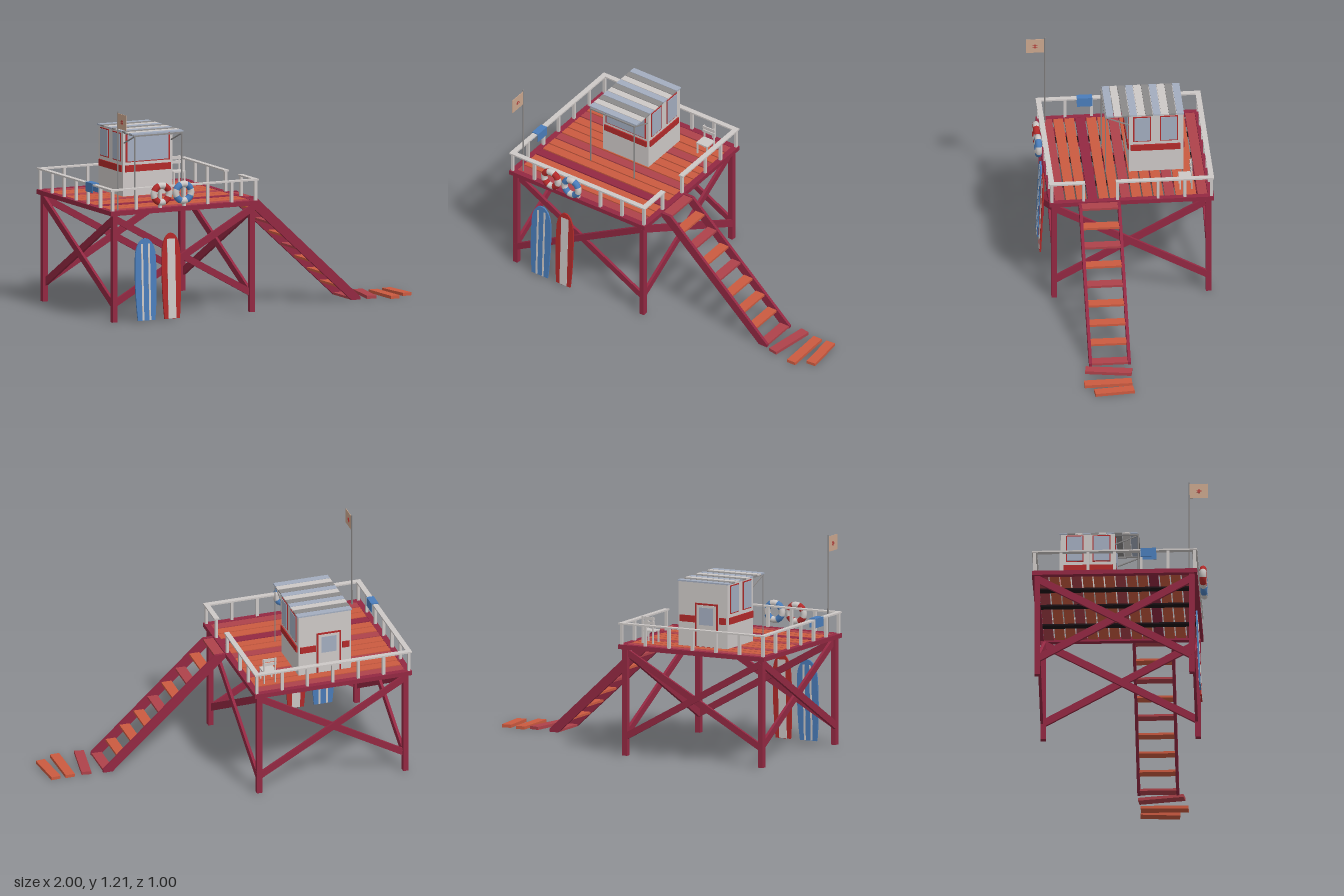
import * as THREE from 'three';

const mat = (name, color, opts = {}) => {
  const m = new THREE.MeshStandardMaterial({ color, ...opts });
  m.name = name;
  return m;
};

export function createModel() {
  const root = new THREE.Group();
  root.name = 'lifeguardTower';
  const crimson = mat('crimson timber', 0x932842);
  const orange = mat('orange plank', 0xcb5a40);
  const rust = mat('rust red plank', 0xae424a);
  const white = mat('off white paint', 0xcdc8c6);
  const red = mat('bright red', 0xb22a2a);
  const blue = mat('blue', 0x4a7dba);
  const glass = mat('pale glass', 0xa3adbf);
  const grey = mat('grey metal', 0x8b8989);
  const tan = mat('tan cloth', 0xcba78e);
  const dark = mat('dark joist', 0x1c1216);

  const add = (name, geo, m, x = 0, y = 0, z = 0, parent = root) => {
    const mesh = new THREE.Mesh(geo, m);
    mesh.name = name;
    mesh.position.set(x, y, z);
    parent.add(mesh);
    return mesh;
  };
  const box = (name, m, w, h, d, x, y, z, parent) =>
    add(name, new THREE.BoxGeometry(w, h, d), m, x, y, z, parent);
  // square timber between two points
  const beam = (name, m, a, b, thick, width) => {
    const A = new THREE.Vector3(...a), B = new THREE.Vector3(...b);
    const mesh = box(name, m, thick, width, A.distanceTo(B), 0, 0, 0);
    mesh.position.copy(A).lerp(B, 0.5);
    mesh.lookAt(B);
    return mesh;
  };

  // --- platform frame and deck ---
  const cx = -0.53, cz = -0.03, half = 0.47;
  for (const s of [-1, 1]) {
    box('frameBeam', crimson, 0.94, 0.026, 0.034, cx, 0.635, cz + s * 0.453);
    box('frameBeam', crimson, 0.034, 0.026, 0.872, cx + s * 0.453, 0.635, cz);
  }
  const pitch = 0.0626;
  const plankMats = { 0: rust, 3: rust, 7: rust, 10: crimson, 13: rust };
  for (let i = 0; i < 14; i++)
    box('deckPlank', plankMats[i] || orange, 0.88, 0.014, pitch - 0.008, cx, 0.64, cz + (i - 6.5) * pitch);
  for (const x of [-0.77, -0.55, -0.29]) box('joist', dark, 0.045, 0.01, 0.872, x, 0.628, cz);

  // --- legs and cross braces ---
  const lx = 0.4375, lz = 0.44;
  for (const sx of [-1, 1]) for (const sz of [-1, 1])
    box('leg', crimson, 0.031, 0.615, 0.031, cx + sx * lx, 0.315, cz + sz * lz);
  for (const s of [-1, 1]) for (const d of [-1, 1]) {
    const z = cz + s * lz + d * 0.008, x = cx + s * lx + d * 0.008;
    beam('crossBrace', crimson, [cx - d * lx, 0.115, z], [cx + d * lx, 0.605, z], 0.016, 0.038);
    beam('crossBrace', crimson, [x, 0.115, cz - d * lz], [x, 0.605, cz + d * lz], 0.016, 0.042);
  }

  // --- railing, open where the ladder arrives ---
  const railY = 0.768, r = 0.455;
  const post = (x, z) => box('railPost', white, 0.016, 0.122, 0.016, x, 0.706, z);
  for (const s of [-1, 1]) box('topRail', white, 0.94, 0.009, 0.03, cx, railY, cz + s * r);
  box('topRail', white, 0.03, 0.009, 0.88, cx - r, railY, cz);
  box('topRail', white, 0.03, 0.009, 0.19, cx + r, railY, 0.33);
  box('topRail', white, 0.03, 0.009, 0.53, cx + r, railY, -0.205);
  for (let i = 0; i <= 6; i++) {
    const t = -r + i * r / 3;
    post(cx + t, cz - r);
    post(cx + t, cz + r);
    if (i > 0 && i < 6) {
      post(cx - r, cz + t);
      if (i !== 4) post(cx + r, cz + t + (i === 5 ? -0.03 : i === 3 ? 0.08 : 0));
    }
  }

  // --- ladder ---
  const side = new THREE.Shape([[-0.06, 0.645], [0, 0.645], [0.67, 0.022], [0.67, 0.005],
    [0.615, 0.005], [-0.06, 0.622]].map(p => new THREE.Vector2(...p)));
  for (const z of [0.036, 0.257])
    add('ladderStringer', new THREE.ExtrudeGeometry(side, { depth: 0.017, bevelEnabled: false }), crimson, 0, 0, z);
  for (let i = 0; i < 9; i++)
    box('ladderStep', [0, 2, 4, 8].includes(i) ? rust : orange, 0.06, 0.013, 0.208,
      -0.03 + i * 0.0835, 0.634 - i * 0.0775, 0.155);

  // --- loose boardwalk planks: x, y, z, length, turn ---
  for (const [x, y, z, len, turn, m] of [[0.75, 0.018, 0.17, 0.265, -0.16, rust],
    [0.867, 0.011, 0.183, 0.272, 0.02, orange], [0.961, 0.014, 0.155, 0.225, 0.09, orange]])
    box('walkPlank', m, 0.056, 0.018, len, x, y, z).rotation.y = turn;

  // --- cabin ---
  const hx = -0.526, hz = -0.195, hw = 0.314, hd = 0.31;
  box('cabinWalls', white, hw, 0.37, hd, hx, 0.833, hz);
  const fz = hz + hd / 2, bz = hz - hd / 2;
  box('frontWindowFrame', red, 0.28, 0.168, 0.004, hx, 0.926, fz + 0.002);
  box('frontWindow', glass, 0.262, 0.156, 0.008, hx, 0.926, fz + 0.003);
  box('frontStripe', red, 0.29, 0.038, 0.009, hx, 0.806, fz + 0.003);
  for (const s of [-1, 1]) {
    const x = hx + s * hw / 2;
    for (const z of [-0.115, -0.268]) {
      box('sideWindowFrame', red, 0.004, 0.164, 0.102, x + s * 0.002, 0.928, z);
      box('sideWindow', glass, 0.008, 0.152, 0.09, x + s * 0.003, 0.928, z);
    }
    box('sideStripe', red, 0.009, 0.038, 0.282, x + s * 0.003, 0.806, hz + 0.004);
  }
  // back door
  box('doorFrame', red, 0.146, 0.25, 0.006, -0.55, 0.775, bz - 0.002);
  box('door', white, 0.126, 0.238, 0.009, -0.55, 0.771, bz - 0.003);
  box('doorWindow', glass, 0.09, 0.1, 0.009, -0.55, 0.826, bz - 0.005);
  box('backStripe', red, 0.095, 0.038, 0.008, -0.426, 0.806, bz - 0.002);
  box('backStripe', red, 0.042, 0.038, 0.008, -0.652, 0.806, bz - 0.002);

  // roof slats, porch posts and struts
  for (let i = 0; i < 10; i++)
    box('roofSlat', [glass, grey, white][i % 3], 0.326, 0.008, 0.041, hx, 1.021, -0.333 + i * 0.0446);
  for (const s of [-1, 1]) {
    const x = hx + s * 0.15;
    beam('roofRafter', grey, [x, 1.013, fz], [x, 1.013, 0.095], 0.007, 0.007);
    beam('roofStrut', grey, [x, 0.955, fz], [x, 1.008, 0.09], 0.006, 0.006);
    add('porchPost', new THREE.CylinderGeometry(0.004, 0.004, 0.37, 8), grey, x, 0.832, 0.093);
  }
  box('porchBeam', grey, 0.31, 0.008, 0.008, hx, 1.012, 0.093);

  // --- life rings with alternating bands ---
  for (const [x, m] of [[-0.692, red], [-0.552, blue]]) {
    const ring = new THREE.Group();
    ring.name = 'lifeRing';
    ring.position.set(x, 0.733, 0.463);
    root.add(ring);
    for (let i = 0; i < 8; i++)
      add('ringBand', new THREE.TorusGeometry(0.048, 0.019, 12, 6, Math.PI / 4), i % 2 ? m : white, 0, 0, 0, ring)
        .rotation.z = (i - 0.5) * Math.PI / 4;
  }

  // --- surfboards leaning on the front brace ---
  const boardShape = (w, h) => {
    const s = new THREE.Shape();
    s.moveTo(-w * 0.8, 0);
    s.lineTo(w * 0.8, 0);
    s.bezierCurveTo(w * 1.0, h * 0.25, w * 1.05, h * 0.6, w * 0.93, h * 0.82);
    s.bezierCurveTo(w * 0.8, h * 0.93, w * 0.45, h, 0, h);
    s.bezierCurveTo(-w * 0.45, h, -w * 0.8, h * 0.93, -w * 0.93, h * 0.82);
    s.bezierCurveTo(-w * 1.05, h * 0.6, -w * 1.0, h * 0.25, -w * 0.8, 0);
    return s;
  };
  const surfboard = (name, m, x, w, h, stripes) => {
    const g = new THREE.Group();
    g.name = name;
    g.position.set(x, 0.01, 0.444);
    g.rotation.x = -0.042;
    root.add(g);
    add('board', new THREE.ExtrudeGeometry(boardShape(w, h), { depth: 0.009, bevelEnabled: false }), m, 0, 0, 0, g);
    for (const [sx, sw] of stripes)
      box('boardStripe', white, sw, h * 0.93, 0.0115, sx, h * 0.468, 0.0045, g);
  };
  surfboard('blueSurfboard', blue, -0.78, 0.068, 0.47, [[-0.022, 0.012], [0.022, 0.012]]);
  surfboard('redSurfboard', red, -0.617, 0.06, 0.49, [[0, 0.05]]);

  // --- towel draped over the left rail ---
  box('towelTop', blue, 0.042, 0.005, 0.088, -0.982, 0.776, 0.163);
  for (const s of [-1, 1]) box('towelDrape', blue, 0.004, 0.052, 0.088, -0.982 + s * 0.019, 0.75, 0.163);

  // --- flag ---
  const px = -0.935, pz = 0.392;
  add('flagPole', new THREE.CylinderGeometry(0.004, 0.005, 0.57, 10), grey, px, 0.93, pz);
  box('flag', tan, 0.003, 0.088, 0.105, px, 1.161, pz + 0.056);
  for (const s of [-1, 1]) {
    box('flagMark', red, 0.005, 0.026, 0.003, px, 1.159, 0.448 + s * 0.005);
    box('flagMark', red, 0.005, 0.003, 0.028, px, 1.159 + s * 0.005, 0.448);
  }

  // --- chair in the back corner ---
  const chair = new THREE.Group();
  chair.name = 'chair';
  chair.position.set(-0.187, 0.647, -0.345);
  root.add(chair);
  box('chairSeat', white, 0.078, 0.008, 0.074, 0, 0.07, 0, chair);
  for (const s of [-1, 1]) {
    box('chairFrontLeg', white, 0.008, 0.07, 0.008, s * 0.033, 0.035, 0.032, chair);
    box('chairBackLeg', white, 0.008, 0.155, 0.008, s * 0.033, 0.0775, -0.036, chair);
  }
  for (const y of [0.118, 0.143]) box('chairBackSlat', white, 0.084, 0.018, 0.006, 0, y, -0.032, chair);

  return root;
}
